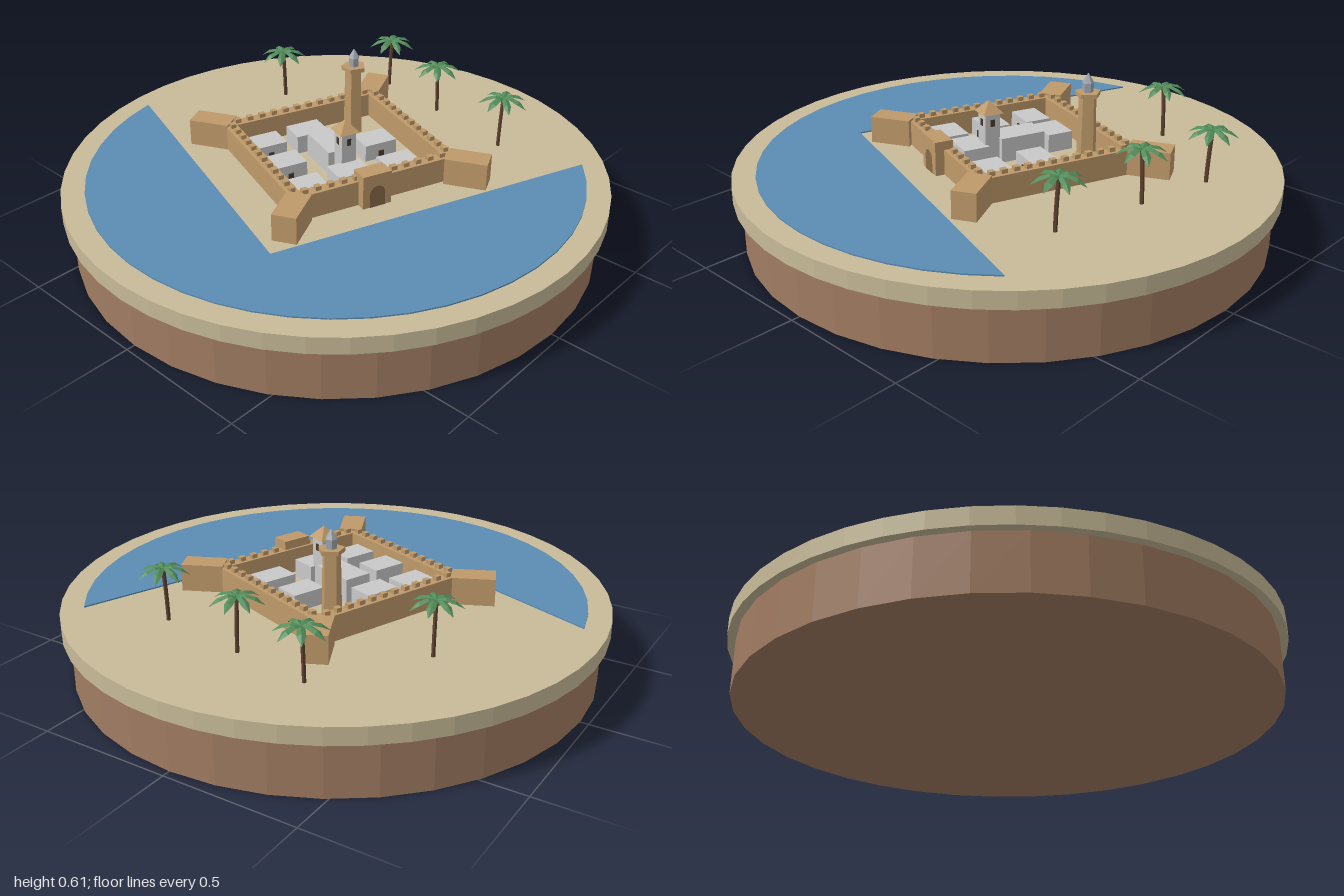
import * as THREE from 'three';

const mat = (name, color, extra = {}) => {
  const m = new THREE.MeshStandardMaterial({ color, flatShading: true, ...extra });
  m.name = name;
  return m;
};

export function createModel() {
  const sand = mat('sand', 0xc8bb98);
  const earth = mat('earth', 0xa17c62);
  const water = mat('water', 0x5a8db3);
  const wall = mat('mud brick', 0xbf9a6a);
  const plaster = mat('plaster', 0xc9c9c9);
  const wood = mat('door wood', 0x8a6a48, { side: THREE.DoubleSide });
  const dark = mat('dark opening', 0x4a3a2c);
  const stone = mat('lantern stone', 0x9fa4ac);
  const trunkMat = mat('palm trunk', 0x5e432f);
  const leaf = mat('palm leaf', 0x4f8a58, { side: THREE.DoubleSide });

  const root = new THREE.Group();
  root.name = 'desertFort';
  const GROUND = 0.263;

  const add = (parent, name, geo, material, x = 0, y = 0, z = 0, ry = 0) => {
    const m = new THREE.Mesh(geo, material);
    m.name = name;
    m.position.set(x, y, z);
    m.rotation.y = ry;
    parent.add(m);
    return m;
  };
  // box standing on height y
  const box = (parent, name, material, w, h, d, x, y, z, ry = 0) =>
    add(parent, name, new THREE.BoxGeometry(w, h, d), material, x, y + h / 2, z, ry);

  // round island
  add(root, 'earthBase', new THREE.CylinderGeometry(0.97, 0.97, 0.2, 36), earth, 0, 0.1, 0);
  add(root, 'sandDisc', new THREE.CylinderGeometry(1, 1, 0.063, 48), sand, 0, 0.2315, 0);

  // L-shaped sea along the rim; shape y is world -z
  const sea = new THREE.Shape();
  const a0 = Math.atan2(0.9, -0.16), a1 = Math.atan2(-0.67, 0.62) + Math.PI * 2;
  sea.moveTo(-0.57, -0.235);
  for (let i = 28; i >= 0; i--) {
    const a = a0 + (a1 - a0) * i / 28;
    sea.lineTo(0.915 * Math.cos(a), 0.915 * Math.sin(a));
  }
  const seaGeo = new THREE.ExtrudeGeometry(sea, { depth: 0.006, bevelEnabled: false });
  seaGeo.rotateX(-Math.PI / 2);
  add(root, 'sea', seaGeo, water, 0, 0.262, 0);

  // fort, turned 20 degrees
  const fort = new THREE.Group();
  fort.name = 'fort';
  fort.position.set(0.03, GROUND, -0.024);
  fort.rotation.y = -THREE.MathUtils.degToRad(20);
  root.add(fort);

  const U = 0.328, V = 0.312, T = 0.044, H = 0.094;
  for (const s of [-1, 1]) {
    box(fort, 'longWall', wall, 2 * U, H, T, 0, 0, s * (V - T / 2));
    box(fort, 'sideWall', wall, T, H, 2 * (V - T), s * (U - T / 2), 0, 0);
    // battlements
    for (let i = 0; i < 12; i++) {
      const t = (i - 5.5) / 12;
      box(fort, 'merlon', wall, 0.022, 0.016, 0.02, t * 2 * (U - 0.03), H, s * (V - T / 2));
      box(fort, 'merlon', wall, 0.02, 0.016, 0.022, s * (U - T / 2), H, t * 2 * (V - 0.03));
    }
    // diagonal corner bastions
    for (const q of [-1, 1]) {
      const r = 0.495 / Math.SQRT2;
      box(fort, 'bastion', wall, 0.155, 0.102, 0.088, s * r, 0, q * r, -s * q * Math.PI / 4);
    }
  }

  // gatehouse with arched door
  box(fort, 'gatehouse', wall, 0.112, 0.127, 0.068, -0.02, 0, 0.312);
  const arch = new THREE.Shape();
  arch.moveTo(-0.03, 0);
  arch.lineTo(0.03, 0);
  arch.lineTo(0.03, 0.052);
  arch.absarc(0, 0.052, 0.03, 0, Math.PI, false);
  arch.lineTo(-0.03, 0);
  add(fort, 'gateDoor', new THREE.ShapeGeometry(arch, 8), wood, -0.02, 0, 0.348);

  // plastered houses: x, z, width, depth, height
  const houses = [
    [-0.215, -0.165, 0.13, 0.1, 0.062], [-0.04, -0.165, 0.13, 0.1, 0.07],
    [-0.215, 0.008, 0.13, 0.1, 0.066], [-0.215, 0.182, 0.13, 0.1, 0.06],
    [-0.022, -0.006, 0.105, 0.175, 0.092], [0.158, 0.007, 0.13, 0.1, 0.064],
    [-0.04, 0.178, 0.13, 0.1, 0.07], [0.16, 0.182, 0.13, 0.1, 0.058],
  ];
  for (const [x, z, w, d, h] of houses) {
    box(fort, 'house', plaster, w, h, d, x, 0, z);
    box(fort, 'houseDoor', dark, 0.02, 0.034, 0.006, x, 0, z + d / 2 + 0.002);
  }

  // square watchtower with pyramid roof
  box(fort, 'watchtower', plaster, 0.058, 0.187, 0.058, -0.021, 0, 0.108);
  add(fort, 'watchtowerRoof', new THREE.ConeGeometry(0.056, 0.044, 4), wall, -0.021, 0.208, 0.108, Math.PI / 4);
  for (let i = 0; i < 4; i++) {
    const a = i * Math.PI / 2;
    box(fort, 'watchtowerWindow', dark, 0.016, 0.026, 0.004,
      -0.021 + 0.029 * Math.sin(a), 0.138, 0.108 + 0.029 * Math.cos(a), a);
  }

  // five-sided lookout tower with lantern
  const tower = new THREE.Group();
  tower.name = 'lookoutTower';
  tower.position.set(0.257, GROUND, -0.143);
  tower.rotation.y = 0.14;
  root.add(tower);
  const ring = (name, m, rt, rb, y0, y1, n = 5) =>
    add(tower, name, new THREE.CylinderGeometry(rt, rb, y1 - y0, n), m, 0, (y0 + y1) / 2, 0);
  ring('towerShaft', wall, 0.033, 0.038, 0, 0.262);
  ring('towerGallery', wall, 0.048, 0.048, 0.262, 0.278);
  ring('lantern', stone, 0.02, 0.02, 0.278, 0.312, 6);
  ring('lanternCap', stone, 0.002, 0.022, 0.312, 0.345, 6);

  // palm frond: a folded, drooping leaf from cross-sections
  const stations = [[0, 0, 0.004], [0.03, 0.009, 0.013], [0.062, 0, 0.015], [0.092, -0.026, 0.001]];
  const pos = [], idx = [];
  stations.forEach(([r, y, w], i) => {
    pos.push(r, y - w * 0.5, -w, r, y, 0, r, y - w * 0.5, w);
    if (i) for (const k of [0, 1]) {
      const a = (i - 1) * 3 + k, b = i * 3 + k;
      idx.push(a, a + 1, b, a + 1, b + 1, b);
    }
  });
  const frond = new THREE.BufferGeometry();
  frond.setAttribute('position', new THREE.Float32BufferAttribute(pos, 3));
  frond.setIndex(idx);
  frond.computeVertexNormals();

  // crown x, z and turn of each palm
  const palms = [[0.29, -0.56, 0.2], [0.68, -0.305, 0.6], [0.605, -0.005, 1.1], [0.55, 0.35, 0.4]];
  palms.forEach(([x, z, turn], p) => {
    const palm = new THREE.Group();
    palm.name = 'palm';
    palm.position.set(x, GROUND, z);
    root.add(palm);
    const lean = p % 2 ? -0.012 : 0.008;
    const path = new THREE.QuadraticBezierCurve3(
      new THREE.Vector3(lean, 0, 0), new THREE.Vector3(lean * 0.8, 0.1, 0), new THREE.Vector3(0, 0.198, 0));
    add(palm, 'trunk', new THREE.TubeGeometry(path, 5, 0.0075, 6), trunkMat);
    for (let i = 0; i < 7; i++)
      add(palm, 'frond', frond, leaf, 0, 0.198, 0, turn + i * Math.PI * 2 / 7);
  });

  return root;
}
